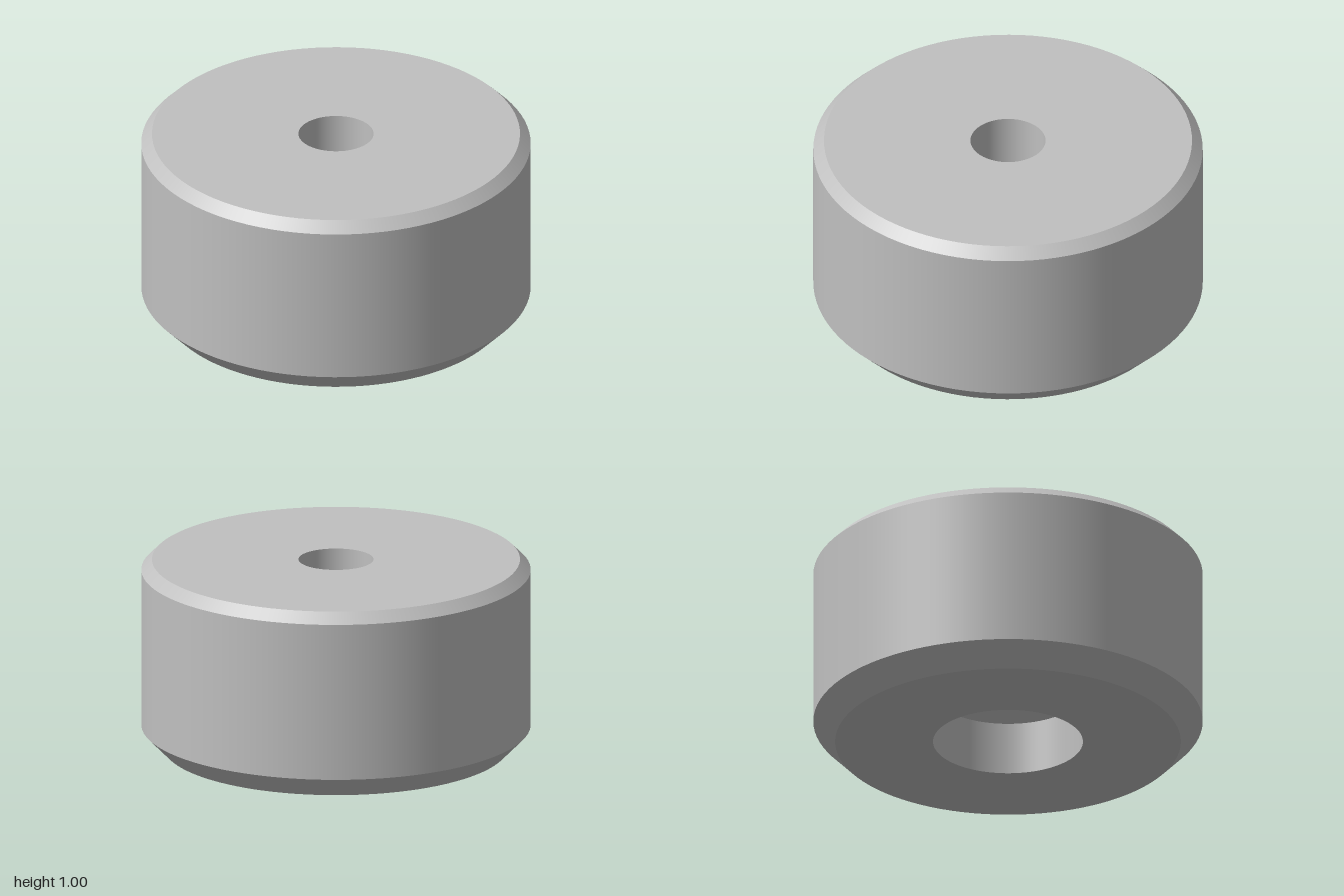
import * as THREE from 'three';

export function createModel() {
  const group = new THREE.Group();
  group.name = 'chamferedBushing';
  const steel = new THREE.MeshStandardMaterial({ color: 0xc0c0c0 });
  steel.name = 'light grey metal';

  // Closed profile [name, radius, height]: each face runs to the next point.
  const profile = [
    ['bottomFace', 0.385, 0],
    ['bottomChamfer', 0.888, 0],
    ['outerWall', 1, 0.115],
    ['topChamfer', 1, 0.945],
    ['topFace', 0.945, 1],
    ['boreWall', 0.193, 1],
    ['boreCone', 0.193, 0.472],
    ['counterboreWall', 0.385, 0.28],
  ];

  // One lathe per face keeps the rims sharp and the round walls smooth.
  profile.forEach(([name, r, y], i) => {
    const [, r2, y2] = profile[(i + 1) % profile.length];
    const points = [new THREE.Vector2(r, y), new THREE.Vector2(r2, y2)];
    const face = new THREE.Mesh(new THREE.LatheGeometry(points, 96), steel);
    face.name = name;
    group.add(face);
  });
  return group;
}
